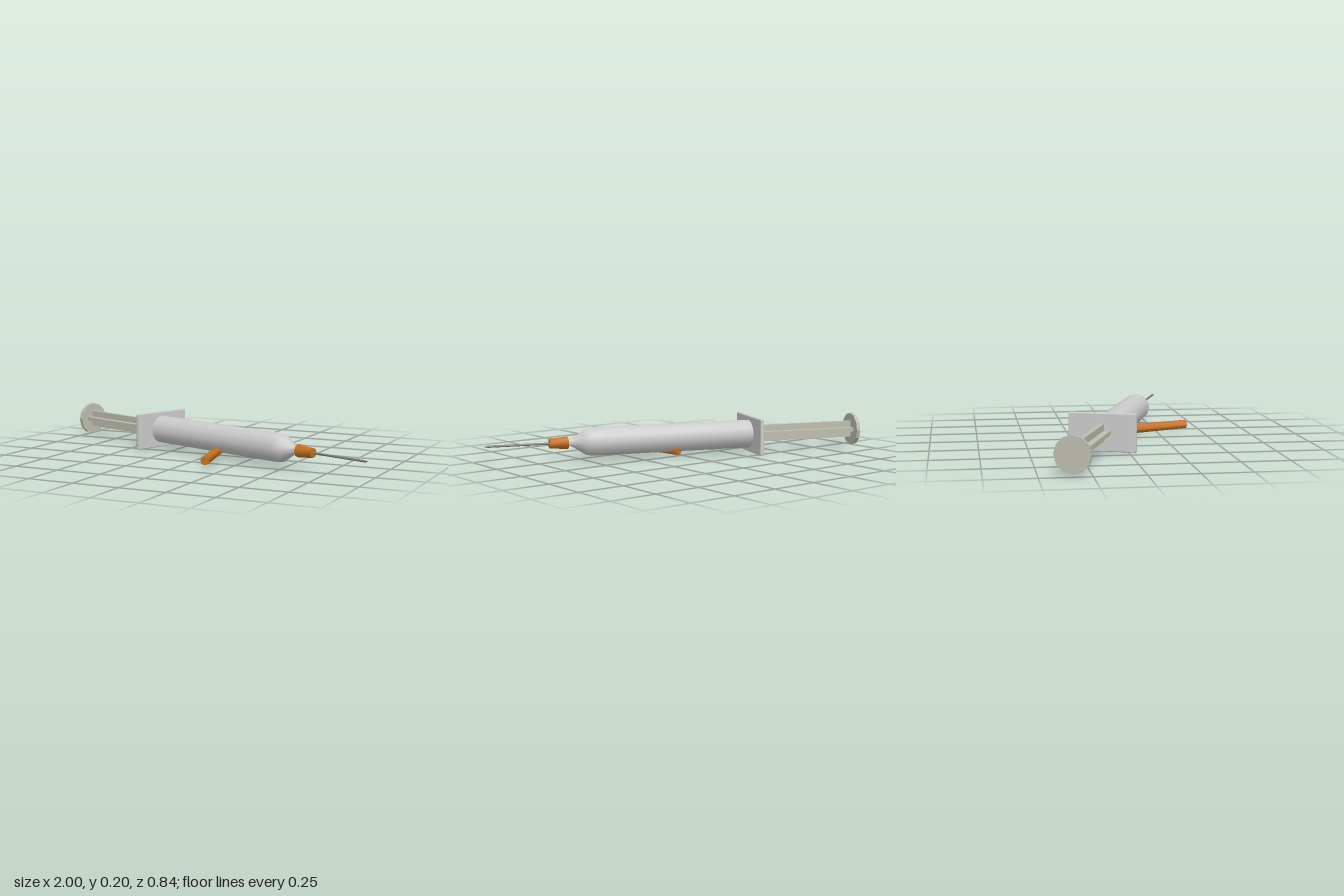
import * as THREE from 'three';
import { toCreasedNormals } from 'three/addons/utils/BufferGeometryUtils.js';
import { RoundedBoxGeometry } from 'three/addons/geometries/RoundedBoxGeometry.js';

const grey = new THREE.MeshStandardMaterial({ color: 0xcccccc });
const plastic = new THREE.MeshStandardMaterial({ color: 0xbdbdb0 });
const steel = new THREE.MeshStandardMaterial({ color: 0x808080 });
const orange = new THREE.MeshStandardMaterial({ color: 0xc4701f });

export function createModel() {
  const model = new THREE.Group();

  // The syringe is built along its own x axis, then turned on the ground
  const syringe = new THREE.Group();
  syringe.name = 'syringe';
  syringe.rotation.y = -THREE.MathUtils.degToRad(20);
  syringe.position.set(0, 0.1, 0.011);
  model.add(syringe);

  const add = (name, geometry, material, x = 0, parent = syringe) => {
    const mesh = new THREE.Mesh(geometry, material);
    mesh.name = name;
    mesh.position.x = x;
    parent.add(mesh);
    return mesh;
  };

  // Turned part from [x, radius] pairs
  const turned = (name, profile, sides, material, crease = 0.7) => {
    const points = profile.map(([x, r]) => new THREE.Vector2(r, x));
    const geometry = new THREE.LatheGeometry(points, sides).rotateZ(-Math.PI / 2);
    return add(name, toCreasedNormals(geometry, crease), material);
  };

  // Barrel with rounded shoulder and nozzle
  turned('barrel', [
    [-0.4, 0], [-0.4, 0.077], [0.45, 0.077], [0.5, 0.075], [0.53, 0.069],
    [0.55, 0.056], [0.592, 0.028], [0.61, 0.019], [0.64, 0.017], [0.64, 0],
  ], 12, grey);

  // Finger flange
  add('fingerFlange', new RoundedBoxGeometry(0.021, 0.198, 0.353, 2, 0.005), grey, -0.404);

  // Plunger: crossed ribs and a thumb plate
  add('plungerRibUpright', new THREE.BoxGeometry(0.62, 0.09, 0.021), plastic, -0.71);
  add('plungerRibFlat', new THREE.BoxGeometry(0.62, 0.021, 0.09), plastic, -0.71);
  turned('thumbPlate', [[-1.034, 0], [-1.034, 0.09], [-1.014, 0.09], [-1.014, 0]], 12, plastic, 0.4);

  // Needle hub and needle
  turned('needleHub', [[0.626, 0], [0.626, 0.034], [0.724, 0.025], [0.724, 0]], 8, orange, 0.9);
  turned('needle', [[0.71, 0], [0.71, 0.006], [1.045, 0.006], [1.064, 0.001], [1.064, 0]], 8, steel, 0.9);

  // Loose needle cap lying under the barrel
  const start = new THREE.Vector3(0.042, 0.034, -0.024);
  const end = new THREE.Vector3(0.157, 0.045, 0.409);
  const axis = end.clone().sub(start);
  const capGeometry = new THREE.CylinderGeometry(0.0235, 0.025, axis.length(), 10);
  const cap = add('needleCap', toCreasedNormals(capGeometry, 0.9), orange, 0, model);
  cap.position.copy(start).add(end).multiplyScalar(0.5);
  cap.quaternion.setFromUnitVectors(new THREE.Vector3(0, 1, 0), axis.normalize());

  return model;
}
